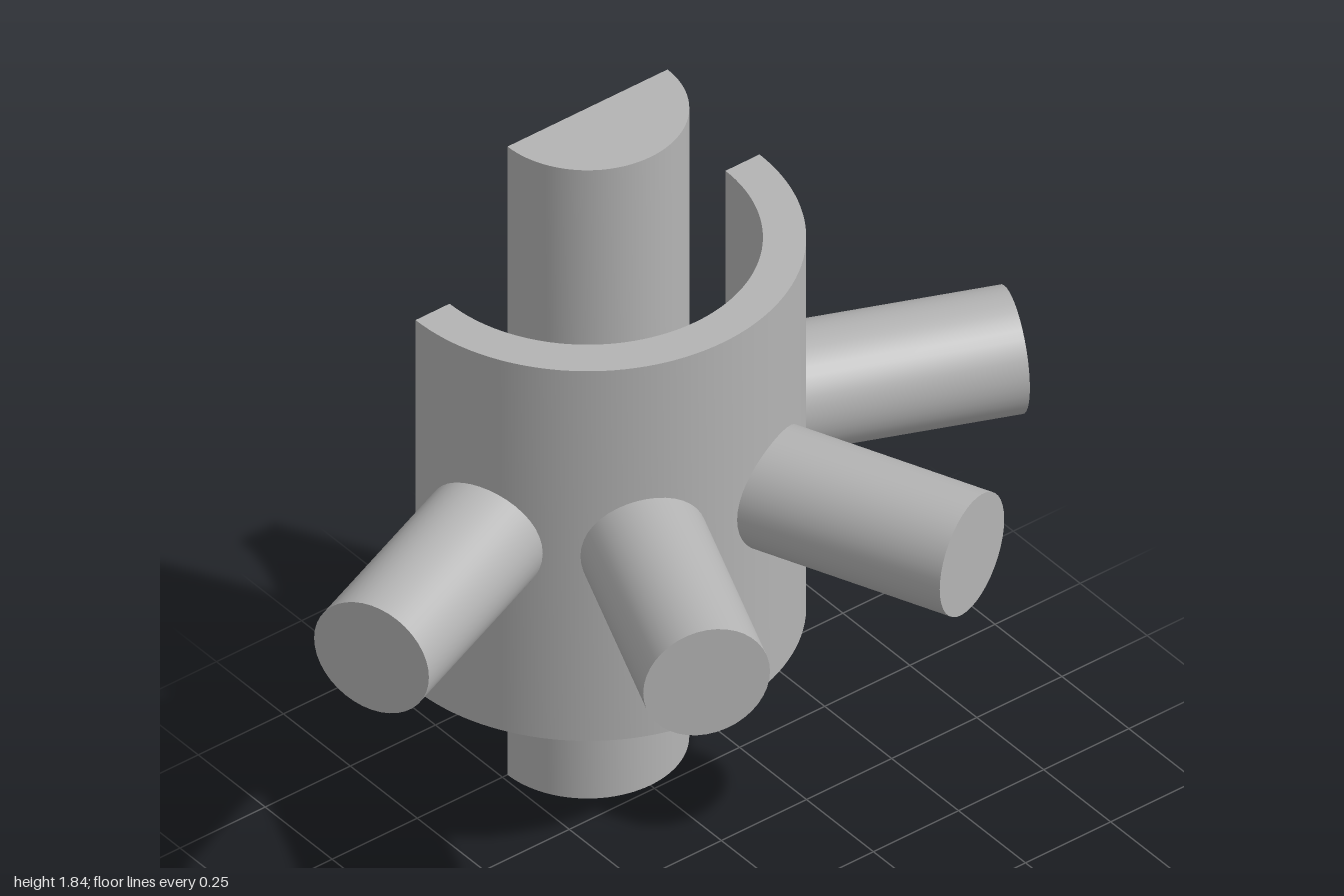
import * as THREE from 'three';
import { toCreasedNormals } from 'three/addons/utils/BufferGeometryUtils.js';

const AXIS_X = -0.5;      // the shell is cut open along the plane x = -0.5
const HEIGHT = 1.835;
const MID = HEIGHT / 2;
const PIN_R = 0.235, INNER_R = 0.405, OUTER_R = 0.505;
const HUB_HALF = 0.54, WEB_HALF = 0.066;
const ARM_R = 0.152, ARM_START = 0.47, ARM_END = 1.018;

// Revolves a [radius, height] profile and keeps its corners sharp
function revolve(profile, segments, angle) {
  const points = profile.map(([r, y]) => new THREE.Vector2(r, y));
  return toCreasedNormals(new THREE.LatheGeometry(points, segments, 0, angle), 0.6);
}

export function createModel() {
  const model = new THREE.Group();
  model.name = 'halfHubWithArms';
  const grey = new THREE.MeshStandardMaterial({ color: 0xb4b4b4, side: THREE.DoubleSide });
  grey.name = 'grey';

  function add(name, geometry) {
    const mesh = new THREE.Mesh(geometry, grey);
    mesh.name = name;
    mesh.position.x = AXIS_X;
    model.add(mesh);
    return mesh;
  }

  // Half pins: hollow shells, capped at the far ends
  add('lowerPin', revolve([[0, 0], [PIN_R, 0], [PIN_R, MID - WEB_HALF]], 48, Math.PI));
  add('upperPin', revolve([[PIN_R, MID + WEB_HALF], [PIN_R, HEIGHT], [0, HEIGHT]], 48, Math.PI));

  // Half hub: hollow rim joined to the pins by a thin hollow web
  add('hub', revolve([
    [PIN_R, MID - WEB_HALF], [INNER_R, MID - WEB_HALF],
    [INNER_R, MID - HUB_HALF], [OUTER_R, MID - HUB_HALF],
    [OUTER_R, MID + HUB_HALF], [INNER_R, MID + HUB_HALF],
    [INNER_R, MID + WEB_HALF], [PIN_R, MID + WEB_HALF],
  ], 64, Math.PI));

  // Four radial arms, 45 degrees apart
  const armGeometry = revolve([[ARM_R, ARM_START], [ARM_R, ARM_END], [0, ARM_END]], 40, Math.PI * 2);
  armGeometry.rotateZ(-Math.PI / 2);
  for (let i = 0; i < 4; i++) {
    const arm = add('arm' + (i + 1), armGeometry);
    arm.position.y = MID;
    arm.rotation.y = THREE.MathUtils.degToRad(-67.5 + 45 * i);
  }
  return model;
}
